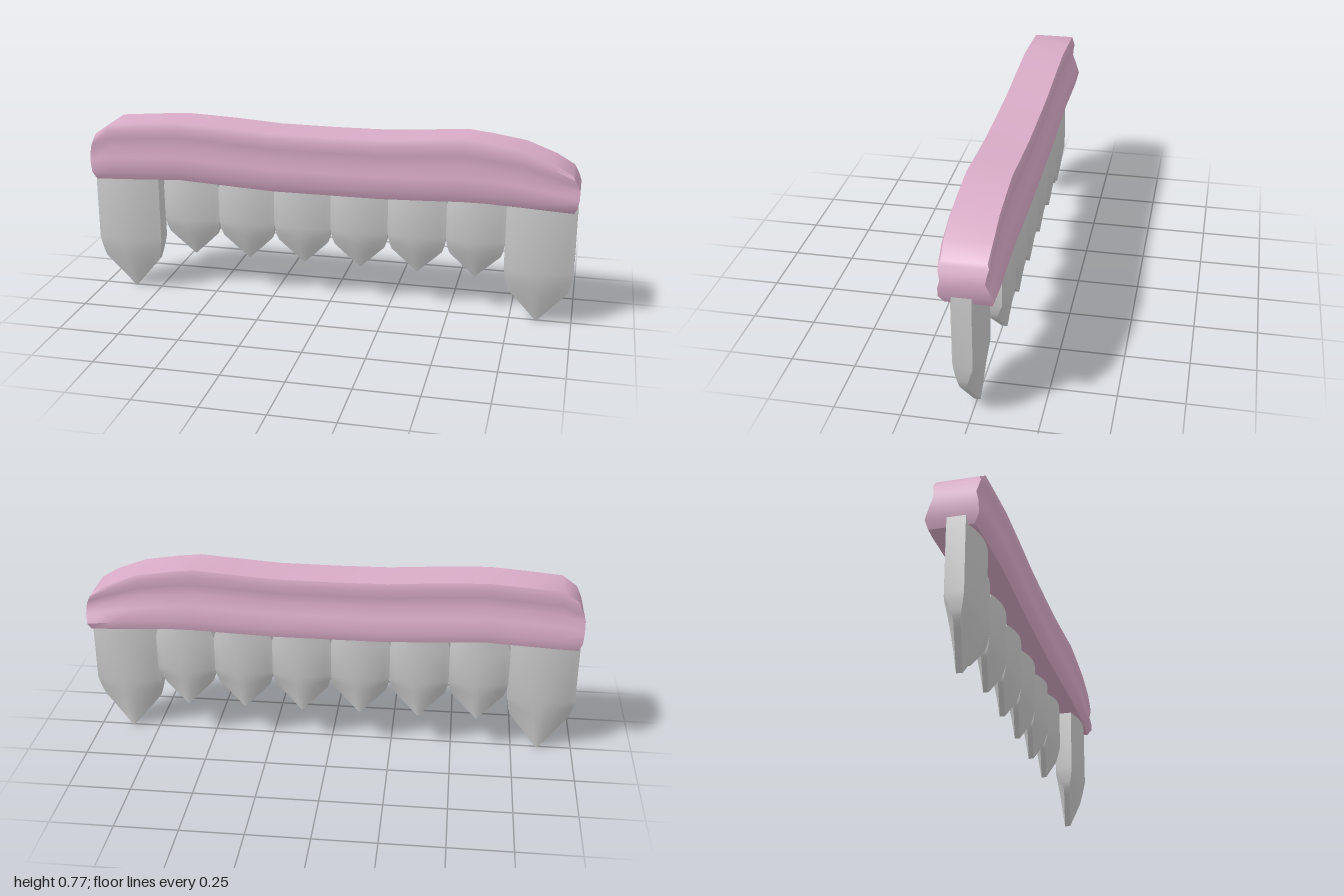
import * as THREE from 'three';
import { toCreasedNormals } from 'three/addons/utils/BufferGeometryUtils.js';

// Skin a list of closed rings; each ring runs along the front and returns along the back,
// so both ends are capped by joining opposite points.
function loft(rings, crease) {
  const n = rings[0].length;
  const index = [];
  const quad = (a, b, c, d) => index.push(a, b, c, a, c, d);
  for (let r = 0; r < rings.length - 1; r++) {
    for (let i = 0; i < n; i++) {
      const j = (i + 1) % n;
      quad(r * n + i, (r + 1) * n + i, (r + 1) * n + j, r * n + j);
    }
  }
  const last = (rings.length - 1) * n;
  for (let i = 0; i < n / 2 - 1; i++) {
    quad(i, i + 1, n - 2 - i, n - 1 - i);
    quad(last + i, last + n - 1 - i, last + n - 2 - i, last + i + 1);
  }
  const geometry = new THREE.BufferGeometry();
  geometry.setAttribute('position', new THREE.Float32BufferAttribute(rings.flat(2), 3));
  geometry.setIndex(index);
  return toCreasedNormals(geometry, crease);
}

// Gum bar: a grooved profile swept along x between a bottom and a top line
function gumGeometry() {
  // [height fraction, front z, back z]
  const profile = [
    [0, 0.083, -0.092], [0.17, 0.103, -0.103], [0.4, 0.102, -0.086], [0.6, 0.093, -0.071],
    [0.75, 0.1, -0.074], [0.9, 0.103, -0.081], [1, 0.095, -0.074],
  ];
  // [x, bottom y, top y]
  const stations = [
    [-1, 0.5, 0.7], [-0.91, 0.505, 0.742], [-0.76, 0.512, 0.755], [-0.62, 0.52, 0.765],
    [-0.42, 0.51, 0.757], [-0.22, 0.5, 0.744], [0, 0.5, 0.742], [0.22, 0.5, 0.744],
    [0.4, 0.506, 0.756], [0.55, 0.512, 0.767], [0.64, 0.512, 0.757], [0.78, 0.506, 0.735],
    [0.9, 0.5, 0.69], [1, 0.495, 0.65],
  ];
  const rings = stations.map(([x, y0, y1]) => {
    const end = Math.abs(x) === 1;
    const point = (t, z) => {
      // The end faces bulge outward at mid height
      const inset = end ? Math.max(0, 0.25 - t) * 0.07 + Math.max(0, t - 0.65) * 0.085 : 0;
      return [x - Math.sign(x) * inset, y0 + (y1 - y0) * t, z * (end ? 0.95 : 1)];
    };
    const front = profile.map(([t, f]) => point(t, f));
    const back = profile.map(([t, , b]) => point(t, b)).reverse();
    return [...front, ...back];
  });
  return loft(rings, 0.75);
}

// Tooth: bowed front and back, flat sides, chisel point; the tip is at y = 0
function toothGeometry({ width, top, shoulder, depth, neck }) {
  const columns = 12;
  const tipZ = -0.14 * depth;
  const half = width / 2;
  const sideY = shoulder * 0.6;
  const rows = [
    { y: top, w: neck }, { y: top - 0.075, w: 1 }, { y: shoulder, w: 1 },
    { k: 0.35, w: 0.97 }, { k: 0.68, w: 0.93 }, { k: 1, w: 0.87 },
  ];
  const rings = rows.map(({ y, k = 0, w }) => {
    const line = (side) => Array.from({ length: columns + 1 }, (_, i) => {
      const u = (i / columns) * 2 - 1;
      const py = y ?? THREE.MathUtils.lerp(shoulder, sideY * Math.abs(u), k);
      const full = side * depth * (0.5 - 0.215 * u * u);
      const edge = THREE.MathUtils.lerp(tipZ, 0.05 * depth, Math.abs(u)) + side * 0.1 * depth;
      // The front keeps its fullness longer before it turns in to the tip
      const turn = side > 0 ? Math.pow(k, 1.25) : k;
      return [u * half * w, py, THREE.MathUtils.lerp(full, edge, turn)];
    });
    return [...line(1), ...line(-1).reverse()];
  });
  return loft(rings, 0.6);
}

export function createModel() {
  const model = new THREE.Group();
  const gumMaterial = new THREE.MeshStandardMaterial({ color: 0xd8abc6 });
  const toothMaterial = new THREE.MeshStandardMaterial({ color: 0xcccccc });

  const add = (name, geometry, material, x = 0, y = 0, z = 0) => {
    const mesh = new THREE.Mesh(geometry, material);
    mesh.name = name;
    mesh.position.set(x, y, z);
    model.add(mesh);
  };

  add('gum', gumGeometry(), gumMaterial);

  // Six short incisors set back between two long canines
  const incisor = toothGeometry({ width: 0.24, top: 0.39, shoulder: 0.17, depth: 0.107, neck: 0.8 });
  for (let i = 0; i < 6; i++) {
    add(`incisor${i + 1}`, incisor, toothMaterial, (i - 2.5) * 0.24, 0.152, -0.036);
  }
  const canine = toothGeometry({ width: 0.275, top: 0.56, shoulder: 0.235, depth: 0.123, neck: 0.96 });
  add('rightCanine', canine, toothMaterial, -0.86, 0, 0.017);
  add('leftCanine', canine, toothMaterial, 0.86, 0, 0.017);

  return model;
}
